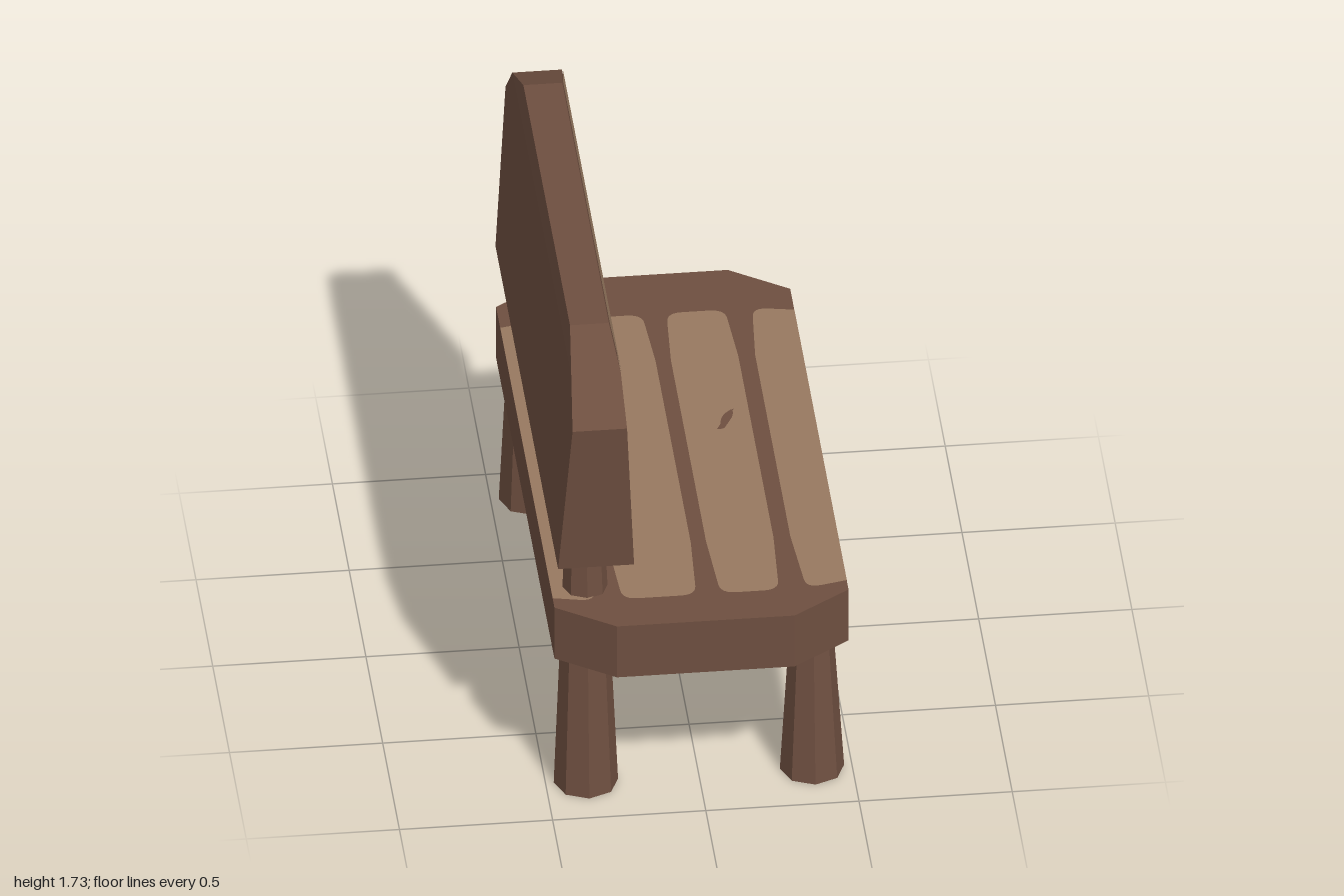
import * as THREE from 'three';

const darkWood = new THREE.MeshStandardMaterial({ color: 0x6e4f40 });
darkWood.name = 'dark wood';
const lightWood = new THREE.MeshStandardMaterial({ color: 0x977960 });
lightWood.name = 'light wood';

const LIFT = 0.003; // height of painted planks above the wood

function add(group, name, geometry, material) {
  const mesh = new THREE.Mesh(geometry, material);
  mesh.name = name;
  group.add(mesh);
  return mesh;
}

// Polygon of [u, v, r]; corners with r are rounded
function outline(points) {
  const shape = new THREE.Shape();
  const n = points.length;
  const at = (i) => new THREE.Vector2(points[(i + n) % n][0], points[(i + n) % n][1]);
  const go = (p, i) => (i === 0 ? shape.moveTo(p.x, p.y) : shape.lineTo(p.x, p.y));
  points.forEach(([, , r], i) => {
    const p = at(i);
    if (!r) return go(p, i);
    const toward = (q) => q.sub(p).setLength(r).add(p);
    const a = toward(at(i - 1)), b = toward(at(i + 1));
    go(a, i);
    shape.quadraticCurveTo(p.x, p.y, b.x, b.y);
  });
  return shape;
}

// Flat shape lying on the seat, u = x and v = -z
function seatPlate(points, lift = LIFT) {
  const g = new THREE.ShapeGeometry(outline(points), 6);
  return g.rotateX(-Math.PI / 2).translate(0, 0.745 + lift, 0);
}

// Flat shape facing +x, u = -z and v = y; xAt gives x for each height
function frontPlate(points, xAt) {
  const g = new THREE.ShapeGeometry(outline(points), 6).rotateY(Math.PI / 2);
  const pos = g.attributes.position;
  for (let i = 0; i < pos.count; i++) pos.setX(i, xAt(pos.getY(i)) + LIFT);
  g.computeVertexNormals();
  return g;
}

// Tapered eight-sided leg, leaning along z by a shear
function leg(x, z, lean, height, topRadius) {
  const g = new THREE.CylinderGeometry(topRadius, 0.105, height, 8).toNonIndexed();
  g.translate(0, height / 2, 0);
  const pos = g.attributes.position;
  for (let i = 0; i < pos.count; i++) pos.setZ(i, pos.getZ(i) + lean * pos.getY(i));
  g.translate(x, 0, z);
  g.computeVertexNormals();
  return g;
}

// Backrest cross-sections: height, half width, back x, front x
const ROWS = [
  [0.94, 0.935, -0.475, -0.227],
  [1.52, 1.0, -0.435, -0.257],
  [1.655, 0.88, -0.426, -0.264],
  [1.73, 0.695, -0.41, -0.283],
];

function rowValue(y, column) {
  let i = 0;
  while (i < ROWS.length - 2 && y > ROWS[i + 1][0] + 1e-5) i++;
  const t = (y - ROWS[i][0]) / (ROWS[i + 1][0] - ROWS[i][0]);
  return THREE.MathUtils.lerp(ROWS[i][column], ROWS[i + 1][column], t);
}
const frontX = (y) => rowValue(y, 3);
const halfZ = (y) => rowValue(y, 1);

function backrestGeometry() {
  const rings = ROWS.map(([y, z, xb, xf]) => [[xf, y, z], [xf, y, -z], [xb, y, -z], [xb, y, z]]);
  const v = [];
  const quad = (a, b, c, d) => v.push(...a, ...b, ...c, ...a, ...c, ...d);
  for (let r = 0; r < rings.length - 1; r++) {
    for (let k = 0; k < 4; k++) {
      const n = (k + 1) % 4;
      quad(rings[r][k], rings[r][n], rings[r + 1][n], rings[r + 1][k]);
    }
  }
  const [bottom, top] = [rings[0], rings[rings.length - 1]];
  quad(top[0], top[1], top[2], top[3]);
  quad(bottom[3], bottom[2], bottom[1], bottom[0]);
  const g = new THREE.BufferGeometry();
  g.setAttribute('position', new THREE.Float32BufferAttribute(v, 3));
  g.computeVertexNormals();
  return g;
}

export function createModel() {
  const bench = new THREE.Group();
  bench.name = 'bench';

  // Seat slab with cut corners
  const slab = outline([
    [0.48, -0.87], [0.48, 0.87], [0.29, 1], [-0.29, 1],
    [-0.48, 0.87], [-0.48, -0.87], [-0.29, -1], [0.29, -1],
  ]);
  const seat = new THREE.ExtrudeGeometry(slab, { depth: 0.2, bevelEnabled: false });
  add(bench, 'seat', seat.rotateX(-Math.PI / 2).translate(0, 0.545, 0), darkWood);

  // Light planks on the seat: inner ones rounded, outer ones run to the edge
  for (const [a, b] of [[-0.27, 0], [0.05, 0.27]]) {
    add(bench, 'seatPlank', seatPlate([
      [a + 0.015, -0.85, 0.05], [b - 0.015, -0.85, 0.05], [b, -0.55], [b, 0.5],
      [b - 0.015, 0.77, 0.05], [a + 0.015, 0.77, 0.05], [a, 0.5], [a, -0.55],
    ]), lightWood);
  }
  for (const s of [1, -1]) {
    add(bench, 'outerSeatPlank', seatPlate([
      [s * 0.345, -0.85, 0.05], [s * 0.48, -0.82], [s * 0.48, 0.745],
      [s * 0.345, 0.77, 0.05], [s * 0.325, 0.5], [s * 0.325, -0.55],
    ]), lightWood);
  }
  add(bench, 'seatKnot', seatPlate([
    [0.155, -0.085], [0.178, 0.175, 0.05], [0.218, 0.195, 0.01], [0.215, 0.155, 0.02], [0.178, 0.085, 0.01],
    [0.155, 0.085],
  ].map(([u, v, r], i) => (i === 0 ? [0.165, 0.082] : [u, v, r])), 2 * LIFT), darkWood);

  // Light panel on the seat's front edge
  add(bench, 'seatEdgePanel', frontPlate([
    [-0.61, 0.745], [-0.6, 0.65], [-0.565, 0.545], [0.57, 0.545], [0.6, 0.65], [0.615, 0.745],
  ], () => 0.48), lightWood);

  // Legs: the back pair runs on up into the backrest
  for (const [side, z, lean] of [['Left', 0.785, -0.037], ['Right', -0.855, 0.04]]) {
    add(bench, 'front' + side + 'Leg', leg(0.37, z, lean, 0.6, 0.067), darkWood);
    add(bench, 'back' + side + 'Leg', leg(-0.368, z, lean, 1.0, 0.063), darkWood);
  }

  // Backrest
  add(bench, 'backrest', backrestGeometry(), darkWood);

  // Lowest plank
  const plank = (points) => add(bench, 'backrestPlank', frontPlate(points, frontX), lightWood);
  plank([
    [-halfZ(0.94), 0.94], [0.875, 0.94], [0.91, 1.055, 0.05], [0.6, 1.075],
    [-0.6, 1.075], [-halfZ(1.06), 1.06],
  ]);
  // Middle planks
  for (const [low, high] of [[1.11, 1.3], [1.34, 1.525]]) {
    plank([
      [-halfZ(low + 0.015), low + 0.015], [-0.6, low], [0.6, low], [0.965, low + 0.03, 0.07],
      [0.965, high - 0.025, 0.07], [0.6, high], [-0.6, high], [-halfZ(high - 0.015), high - 0.015],
    ]);
  }
  // Top plank and the bevel above it
  plank([
    [-halfZ(1.58), 1.58], [-0.6, 1.563], [0.6, 1.563], [halfZ(1.59), 1.59], [0.88, 1.655], [-0.88, 1.655],
  ]);
  const bevelX = (y) => (y > 1.7 ? -0.283 : -0.264);
  add(bench, 'backrestBevel', frontPlate(
    [[-0.88, 1.655], [0.88, 1.655], [0.695, 1.73], [-0.695, 1.73]], bevelX), lightWood);

  return bench;
}
